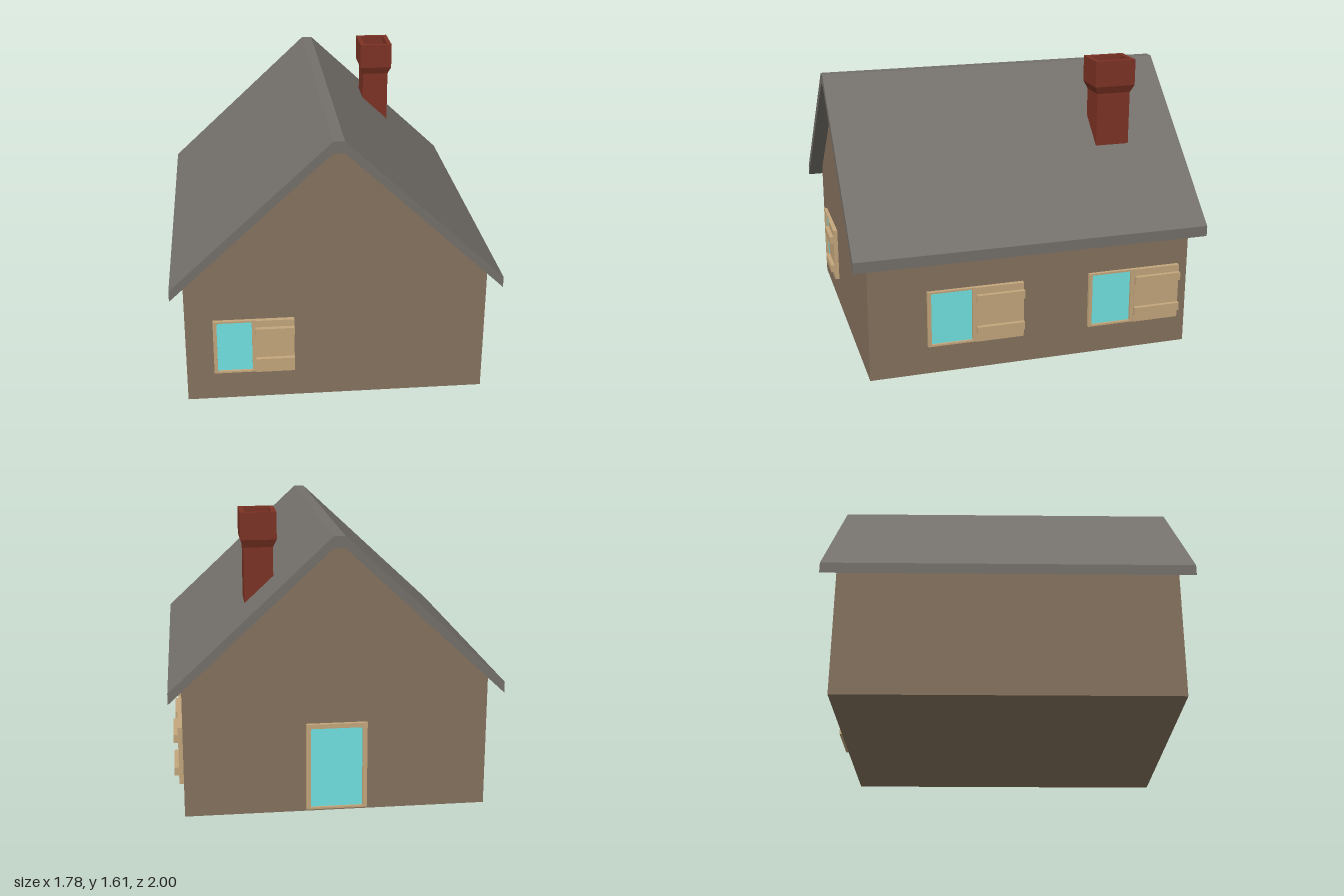
import * as THREE from 'three';

const mat = (color) => new THREE.MeshStandardMaterial({ color });
const mats = {
  wall: mat(0x85725e), roof: mat(0x74706b), brick: mat(0x7d3324),
  wood: mat(0xc4a67c), glass: mat(0x72e2e2),
};

function add(parent, name, geometry, material, x = 0, y = 0, z = 0) {
  const mesh = new THREE.Mesh(geometry, material);
  mesh.name = name;
  mesh.position.set(x, y, z);
  parent.add(mesh);
  return mesh;
}

const polygon = (points) => new THREE.Shape(points.map(([x, y]) => new THREE.Vector2(x, y)));
const extrude = (shape, depth) => new THREE.ExtrudeGeometry(shape, { depth, bevelEnabled: false });

// Completes a right-hand outline with its mirror image
const mirrored = (half) => polygon([...half, ...half.slice().reverse().map(([x, y]) => [-x, y])]);

// Rectangular rings [y, halfX, halfZ] joined by flat quads
function loftRings(rings) {
  const corners = [[1, 1], [1, -1], [-1, -1], [-1, 1]];
  const positions = [];
  const push = ([y, hx, hz], k) => positions.push(corners[k % 4][0] * hx, y, corners[k % 4][1] * hz);
  for (let i = 0; i < rings.length - 1; i++) {
    const lo = rings[i], hi = rings[i + 1];
    for (let k = 0; k < 4; k++) {
      push(lo, k); push(lo, k + 1); push(hi, k + 1);
      push(lo, k); push(hi, k + 1); push(hi, k);
    }
  }
  const geometry = new THREE.BufferGeometry();
  geometry.setAttribute('position', new THREE.Float32BufferAttribute(positions, 3));
  geometry.computeVertexNormals();
  return geometry;
}

// Framed window with an open shutter beside it; local +z points out of the wall
function makeWindow(width, shutterWidth) {
  const group = new THREE.Group();
  group.name = 'window';
  const h = 0.32, b = 0.02, w = width / 2;
  const outline = polygon([[-w, -h / 2], [w, -h / 2], [w, h / 2], [-w, h / 2]]);
  const iw = w - b, ih = h / 2 - 0.01;
  outline.holes.push(polygon([[-iw, -ih], [-iw, ih], [iw, ih], [iw, -ih]]));
  add(group, 'windowFrame', extrude(outline, 0.02), mats.wood);
  add(group, 'windowPane', new THREE.BoxGeometry(iw * 2, ih * 2, 0.01), mats.glass);

  const sx = w + shutterWidth / 2;
  add(group, 'shutterPanel', new THREE.BoxGeometry(shutterWidth, h, 0.025), mats.wood, sx, 0, 0.0125);
  for (const y of [-0.088, 0.098]) {
    add(group, 'shutterBatten', new THREE.BoxGeometry(shutterWidth, 0.045, 0.025), mats.wood, sx, y, 0.036);
  }
  return group;
}

function makeDoor() {
  const group = new THREE.Group();
  group.name = 'door';
  const w = 0.165, h = 0.5, b = 0.025;
  const frame = mirrored([[w - b, 0.015], [w, 0.015], [w, h], [w - b, h]].slice(1, 3));
  frame.holes.push(polygon([[b - w, 0.025], [b - w, h - b], [w - b, h - b], [w - b, 0.025]]));
  add(group, 'doorFrame', extrude(frame, 0.02), mats.wood);
  add(group, 'doorPanel', new THREE.BoxGeometry((w - b) * 2, h - b - 0.025, 0.01), mats.glass, 0, h / 2, 0);
  return group;
}

export function createModel() {
  const house = new THREE.Group();
  house.name = 'house';
  const wallX = 0.82, wallZ = 0.92;

  // Gabled body and roof slab
  const body = mirrored([[wallX, 0], [wallX, 0.725], [0.03, 1.46]]);
  add(house, 'walls', extrude(body, wallZ * 2), mats.wall, 0, 0, -wallZ);
  const roof = polygon([
    [0.89, 0.66], [0.89, 0.72], [0.03, 1.523], [-0.03, 1.523], [-0.89, 0.72],
    [-0.89, 0.66], [-0.03, 1.46], [0.03, 1.46],
  ]);
  add(house, 'roof', extrude(roof, 2), mats.roof, 0, 0, -1);

  // Hollow chimney with a flared top
  const chimney = loftRings([
    [1.09, 0.078, 0.098], [1.415, 0.078, 0.098], [1.458, 0.097, 0.118], [1.605, 0.097, 0.118],
    [1.605, 0.071, 0.094], [1.44, 0.071, 0.094], [1.44, 0, 0],
  ]);
  add(house, 'chimney', chimney, mats.brick, 0.391, 0, -0.583);

  // One window in front, two on the +x side
  const frontWindow = makeWindow(0.23, 0.21);
  frontWindow.position.set(-0.555, 0.33, wallZ);
  house.add(frontWindow);
  for (const z of [0.465, -0.457]) {
    const sideWindow = makeWindow(0.27, 0.27);
    sideWindow.position.set(wallX, 0.325, z);
    sideWindow.rotation.y = Math.PI / 2;
    house.add(sideWindow);
  }

  // Door at the back
  const door = makeDoor();
  door.position.set(0, 0, -wallZ);
  door.rotation.y = Math.PI;
  house.add(door);

  return house;
}
